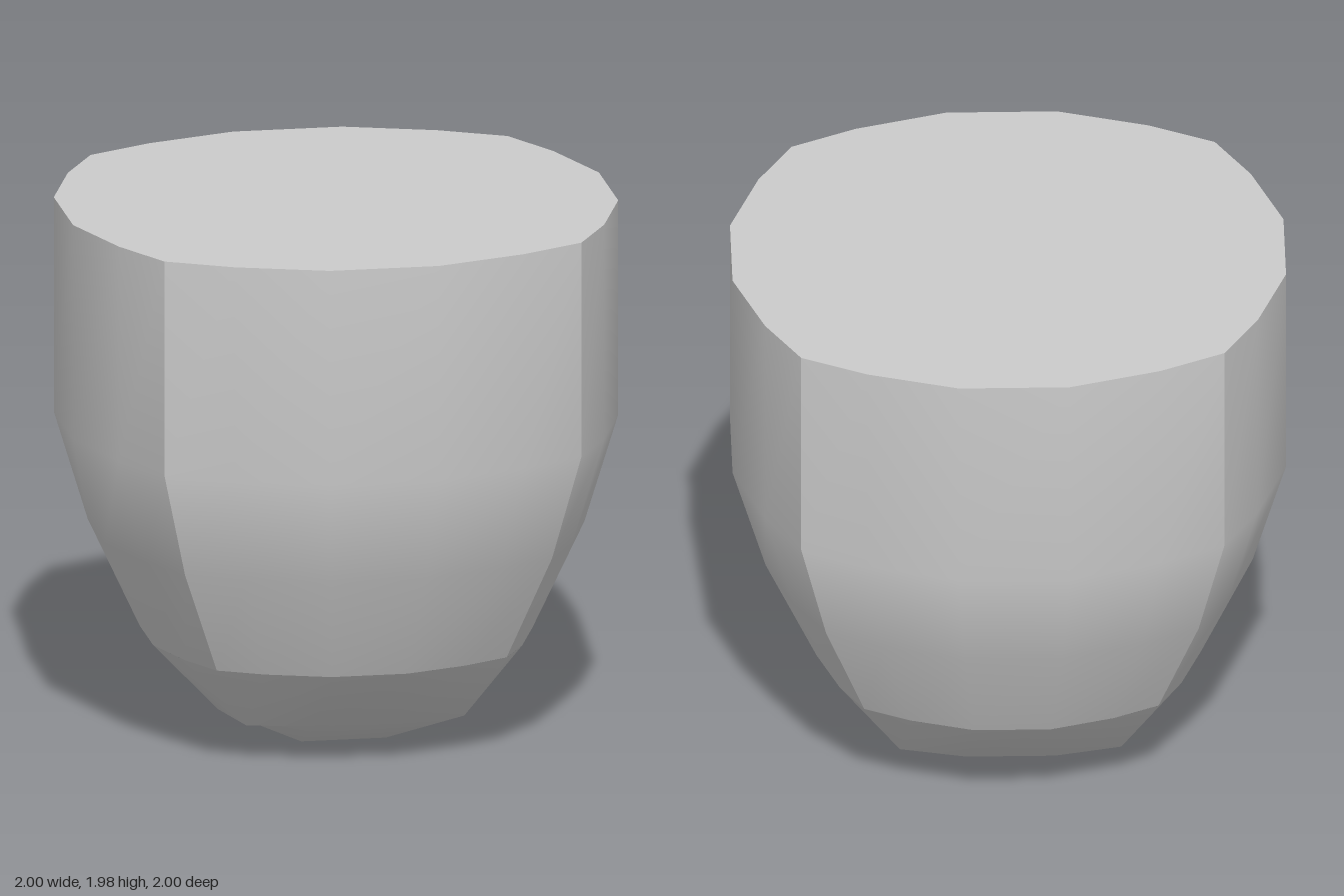
import * as THREE from 'three';

// Wall levels from top to bottom: [height, outline scale]
const LEVELS = [[1.98, 1], [1.18, 1], [0.78, 0.88], [0.38, 0.695]];

// One side of the rounded-square outline, corner to corner: [along, outward]
const SIDE = [[-0.765, 0.765], [-0.53, 0.89], [-0.2, 1], [0.2, 1], [0.53, 0.89], [0.765, 0.765]];

// Bowl grid nodes keyed by larger and smaller grid offset: [larger, smaller, height]
const BOWL = {
  11: [0.155, 0.155, 0],
  31: [0.46, 0.16, 0.135],
  33: [0.4, 0.4, 0.135],
  51: [0.695, 0.139, 0.38],
  53: [0.619, 0.368, 0.38],
  55: [0.532, 0.532, 0.38],
};

// Curved wall panel facing +z, smooth inside and sharp at its borders
function wallGeometry() {
  const geo = new THREE.PlaneGeometry(1, 1, SIDE.length - 1, LEVELS.length - 1);
  const pos = geo.attributes.position;
  for (let i = 0; i < pos.count; i++) {
    const [x, z] = SIDE[i % SIDE.length];
    const [y, s] = LEVELS[Math.floor(i / SIDE.length)];
    pos.setXYZ(i, x * s, y, z * s);
  }
  geo.computeVertexNormals();
  return geo;
}

// Square 5 x 5 grid facing down, bent into a shallow bowl
function bowlGeometry() {
  const geo = new THREE.PlaneGeometry(10, 10, 5, 5).rotateX(Math.PI / 2);
  const pos = geo.attributes.position;
  for (let i = 0; i < pos.count; i++) {
    const gx = Math.round(pos.getX(i)), gz = Math.round(pos.getZ(i));
    const ax = Math.abs(gx), az = Math.abs(gz);
    const [hi, lo, y] = BOWL[`${Math.max(ax, az)}${Math.min(ax, az)}`];
    pos.setXYZ(i, Math.sign(gx) * (ax >= az ? hi : lo), y, Math.sign(gz) * (az >= ax ? hi : lo));
  }
  geo.computeVertexNormals();
  return geo;
}

// Flat lid following the whole outline
function lidGeometry() {
  const points = [];
  for (let k = 0; k < 4; k++) {
    for (const [x, y] of SIDE.slice(0, -1)) {
      points.push(new THREE.Vector2(x, y).rotateAround(new THREE.Vector2(), -k * Math.PI / 2));
    }
  }
  return new THREE.ShapeGeometry(new THREE.Shape(points)).rotateX(-Math.PI / 2);
}

export function createModel() {
  const group = new THREE.Group();
  group.name = 'taperedBlock';
  const material = new THREE.MeshStandardMaterial({ color: 0xcccccc });
  const add = (name, geometry) => {
    const mesh = new THREE.Mesh(geometry, material);
    mesh.name = name;
    group.add(mesh);
    return mesh;
  };

  // Four equal wall panels
  const wall = wallGeometry();
  ['frontWall', 'leftWall', 'backWall', 'rightWall'].forEach((name, k) => {
    add(name, wall).rotation.y = k * Math.PI / 2;
  });

  // Closed ends
  add('topLid', lidGeometry()).position.y = LEVELS[0][0];
  add('bottomBowl', bowlGeometry());
  return group;
}
